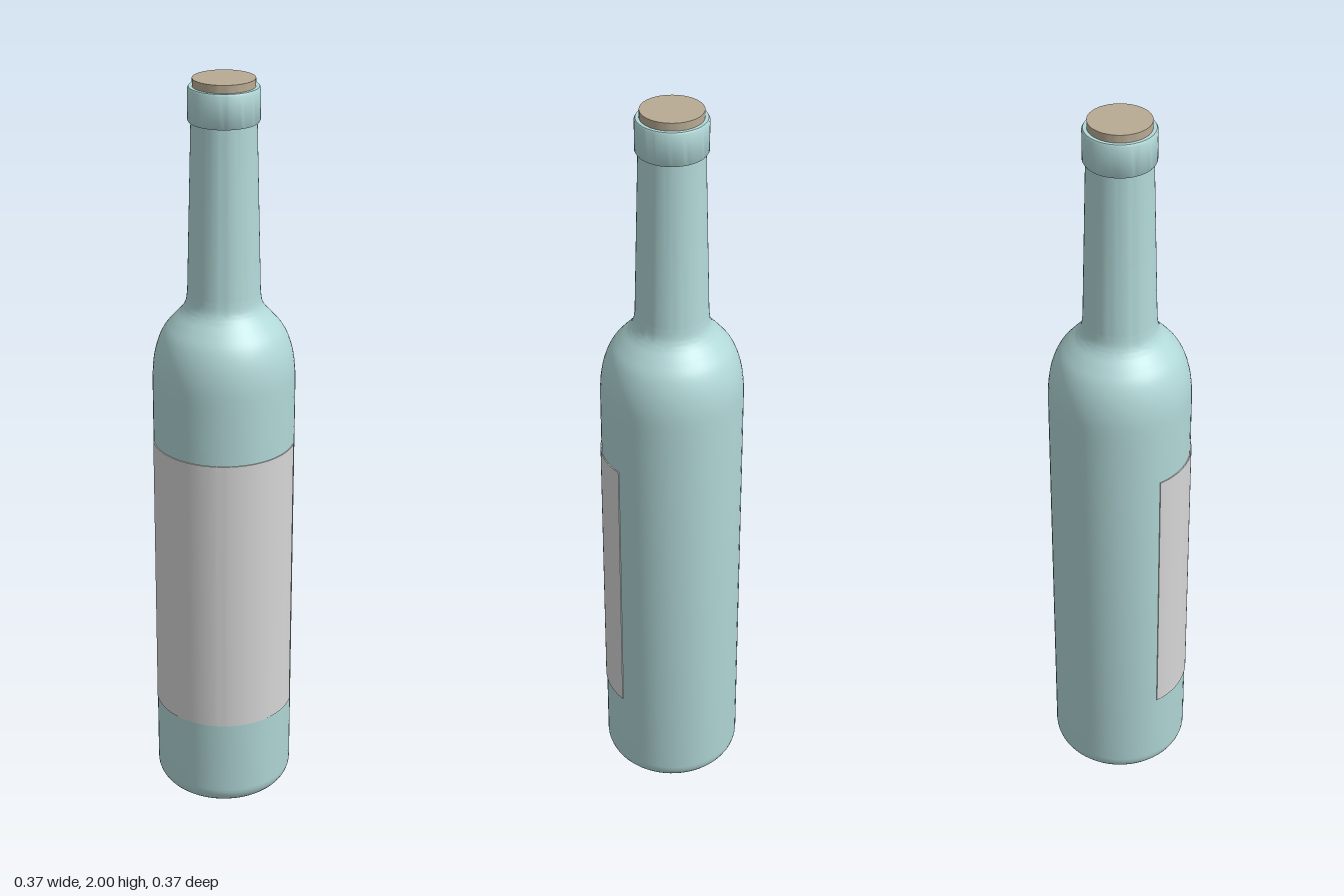
import * as THREE from 'three';
import { toCreasedNormals } from 'three/addons/utils/BufferGeometryUtils.js';

const SEGMENTS = 64;

function material(name, color, side = THREE.FrontSide) {
  const m = new THREE.MeshStandardMaterial({ color, side });
  m.name = name;
  return m;
}

// Revolves [radius, height] pairs, listed bottom to top, about the y axis.
function turned(name, profile, mat, start = 0, sweep = Math.PI * 2, segments = SEGMENTS) {
  const points = profile.map(([r, y]) => new THREE.Vector2(r, y));
  const geometry = toCreasedNormals(new THREE.LatheGeometry(points, segments, start, sweep), 0.6);
  const mesh = new THREE.Mesh(geometry, mat);
  mesh.name = name;
  return mesh;
}

export function createModel() {
  const glass = material('pale blue glass', 0xb2d8d8);
  const paper = material('label paper', 0xd6d6d6, THREE.DoubleSide);
  const corkMat = material('cork', 0xb9ab94);
  const bottle = new THREE.Group();
  bottle.name = 'bottle';

  // Body with a rounded foot, shoulder and tapering neck
  const R = 0.185, foot = 0.055;
  const profile = [[0, 0]];
  for (let i = 0; i <= 8; i++) {
    const a = (i / 8) * Math.PI / 2;
    profile.push([R - foot + foot * Math.sin(a), foot - foot * Math.cos(a)]);
  }
  const shoulder = new THREE.SplineCurve([
    [R, 1.2], [0.183, 1.255], [0.174, 1.305], [0.157, 1.347],
    [0.133, 1.378], [0.11, 1.403], [0.098, 1.425], [0.0935, 1.455],
  ].map(([r, y]) => new THREE.Vector2(r, y)));
  shoulder.getPoints(28).forEach(p => profile.push([p.x, p.y]));
  profile.push([0.082, 1.9]);
  bottle.add(turned('body', profile, glass));

  // Raised lip ring around the mouth
  bottle.add(turned('lip', [
    [0.078, 1.893], [0.087, 1.893], [0.09, 1.898], [0.09, 1.975], [0.087, 1.98], [0.077, 1.98], [0.077, 1.95],
  ], glass));

  // Stopper standing slightly proud of the mouth
  bottle.add(turned('cork', [[0, 1.94], [0.078, 1.94], [0.078, 2], [0, 2]], corkMat));

  // Thin paper label wrapped around the front
  const half = 1.355, bottom = 0.265, top = 1.045, inner = R - 0.002, outer = R + 0.0025;
  const label = new THREE.Group();
  label.name = 'label';
  label.add(turned('labelSheet', [
    [inner, bottom], [outer, bottom], [outer, top], [inner, top],
  ], paper, -half, half * 2, 56));
  for (const side of [-1, 1]) {
    const edge = new THREE.Mesh(new THREE.PlaneGeometry(outer - inner, top - bottom), paper);
    const r = (inner + outer) / 2, a = side * half;
    edge.position.set(r * Math.sin(a), (top + bottom) / 2, r * Math.cos(a));
    edge.rotation.y = a - Math.PI / 2;
    edge.name = side > 0 ? 'labelEdgeLeft' : 'labelEdgeRight';
    label.add(edge);
  }
  bottle.add(label);

  return bottle;
}
